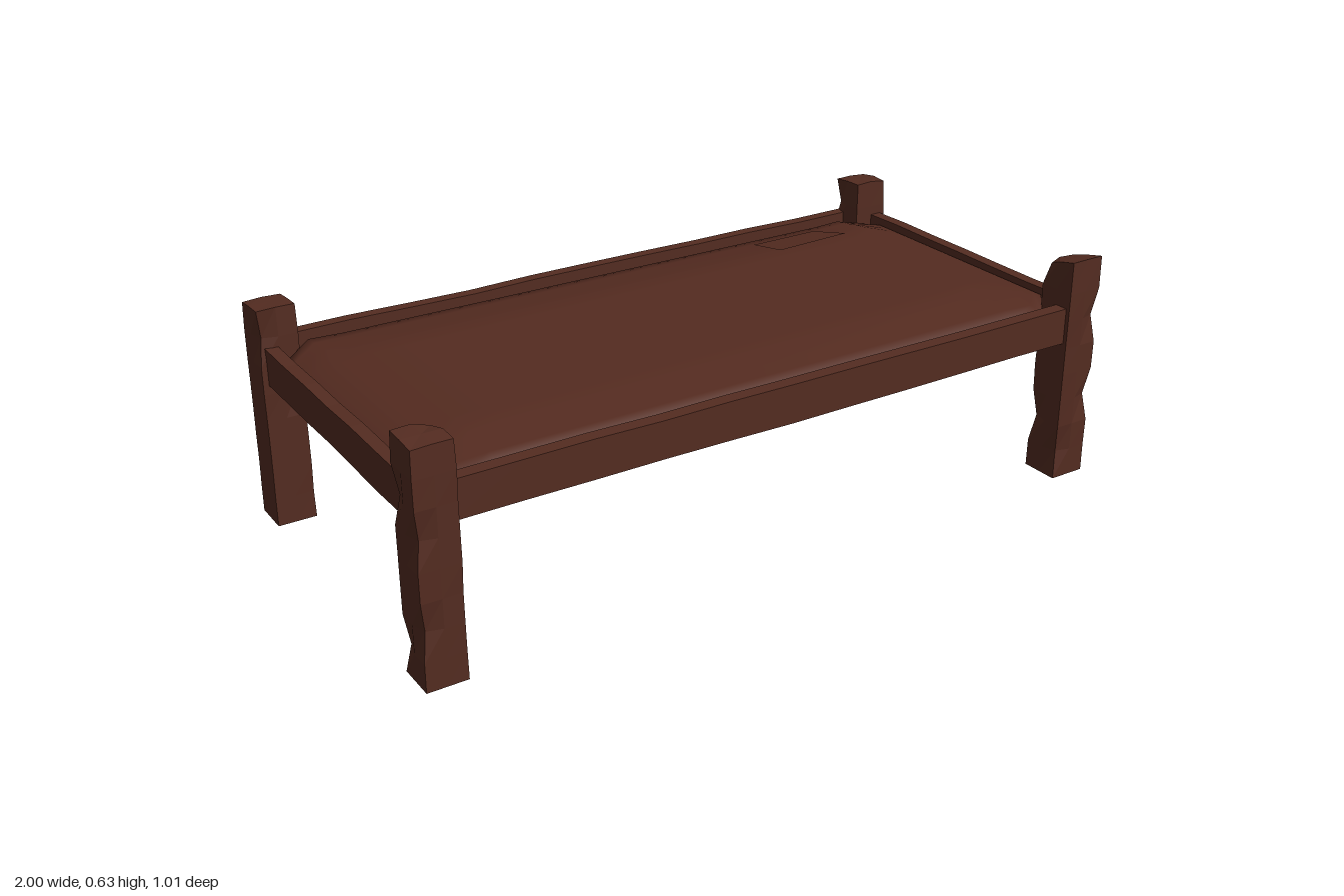
import * as THREE from 'three';
import { mergeVertices } from 'three/addons/utils/BufferGeometryUtils.js';

const wood = new THREE.MeshStandardMaterial({ color: 0x542c21, flatShading: true });
wood.name = 'dark brown wood';
const hideMaterial = new THREE.MeshStandardMaterial({ color: 0x542b20, side: THREE.DoubleSide });
hideMaterial.name = 'dark brown hide';

// Repeatable value in 0..1 from a position
const noise = (x, y, z) => {
  const s = Math.sin(x * 127.1 + y * 311.7 + z * 74.7) * 43758.5453;
  return s - Math.floor(s);
};

// Move every vertex of a geometry by a rule
function reshape(geo, rule) {
  const p = geo.attributes.position, v = new THREE.Vector3();
  for (let i = 0; i < p.count; i++) {
    v.fromBufferAttribute(p, i);
    rule(v);
    p.setXYZ(i, v.x, v.y, v.z);
  }
  geo.computeVertexNormals();
  return geo;
}

function add(group, name, geo, mat, x = 0, y = 0, z = 0) {
  const mesh = new THREE.Mesh(geo, mat);
  mesh.name = name;
  mesh.position.set(x, y, z);
  group.add(mesh);
}

// Roughly hewn square post: a few nicked corners and a sloping, worn top
function postGeometry(height, seed, topSlope) {
  const w = 0.106, h = w / 2;
  const geo = new THREE.BoxGeometry(w, height, w, 2, 8, 2);
  return reshape(geo.translate(0, height / 2, 0), (v) => {
    const corner = Math.abs(v.x) > 0.04 && Math.abs(v.z) > 0.04;
    const top = v.y > height - 0.001, bottom = v.y < 0.001;
    const sx = Math.sign(v.x), sz = Math.sign(v.z);
    const n = noise(sx + seed, Math.round(v.y * 100), sz);
    if (corner && !bottom) {
      const cut = n > 0.85 ? 0.012 : 0.002 * n;
      v.x -= sx * cut;
      v.z -= sz * cut;
    }
    if (top) {
      v.y += topSlope * (v.z / h) * 0.5 - (corner ? 0.008 * n : 0);
      v.x *= 0.96;
      v.z *= 0.96;
    }
  });
}

// Straight rail with a slightly uneven underside and top
function railGeometry(length, thick, alongX, seed) {
  const geo = alongX
    ? new THREE.BoxGeometry(length, 0.1, thick, 10, 1, 1)
    : new THREE.BoxGeometry(thick, 0.1, length, 1, 1, 6);
  return reshape(geo, (v) => {
    const t = Math.round((alongX ? v.x : v.z) * 100);
    const n = noise(t, Math.sign(v.y), seed);
    if (Math.abs(t) < length * 48) v.y += (n - 0.5) * 0.006;
  });
}

// Stretched hide: straight clipped corners, raised middle, edges sloping down
function hideGeometry() {
  const halfX = 0.945, halfZ = 0.438, clip = 0.09;
  const geo = new THREE.BoxGeometry(halfX * 2, 0.03, halfZ * 2, 21, 1, 20);
  geo.deleteAttribute('uv');
  reshape(geo, (v) => {
    const isTop = v.y > 0, ax = Math.abs(v.x);
    const inset = Math.max(0, ax - (halfX - clip));
    const ear = Math.max(0, 1 - Math.abs(ax - (halfX - clip)) / clip) * 0.008;
    v.z *= (halfZ - inset + ear) / halfZ;
    const rise = Math.max(0, Math.min(1, (halfX - ax) / 0.14, (halfZ - Math.abs(v.z)) / 0.17));
    v.y = isTop ? 0.482 + (0.028 + 0.005 * v.x) * rise : 0.456;
  });
  geo.deleteAttribute('normal');
  const skin = mergeVertices(geo, 1e-5);
  skin.computeVertexNormals();
  return skin;
}

// Loose flap on the hide, its front edge lifted
function patchGeometry() {
  const outline = new THREE.Shape([
    [0.495, 0.245], [0.75, 0.27], [0.71, 0.375], [0.49, 0.37],
  ].map(([x, y]) => new THREE.Vector2(x, y)));
  return reshape(new THREE.ShapeGeometry(outline).rotateX(-Math.PI / 2), (v) => {
    v.y = 0.519 - (v.z + 0.25) * -0.16;
  });
}

export function createModel() {
  const bed = new THREE.Group();
  bed.name = 'cot';

  // Corner posts: x, z, height, top slope
  [
    [0.947, 0.452, 0.62, 0.024],
    [-0.947, 0.452, 0.604, -0.006],
    [0.947, -0.452, 0.602, 0.008],
    [-0.947, -0.452, 0.602, 0.006],
  ].forEach(([x, z, height, slope], i) =>
    add(bed, 'post', postGeometry(height, i * 3.7 + 1, slope), wood, x, 0, z));

  // Long and short rails
  add(bed, 'frontRail', railGeometry(1.82, 0.038, true, 1), wood, 0, 0.45, 0.474);
  add(bed, 'backRail', railGeometry(1.82, 0.034, true, 2), wood, 0, 0.45, -0.482);
  for (const s of [-1, 1])
    add(bed, 'sideRail', railGeometry(0.82, 0.034, false, 4 + s), wood, s * 0.967, 0.45, 0);

  // Thin cross slats under the hide
  for (let i = 0; i < 8; i++)
    add(bed, 'slat', new THREE.BoxGeometry(0.018, 0.02, 0.94), wood, -0.84 + i * 0.24, 0.457, 0);

  add(bed, 'hide', hideGeometry(), hideMaterial);
  add(bed, 'patch', patchGeometry(), hideMaterial);

  return bed;
}
